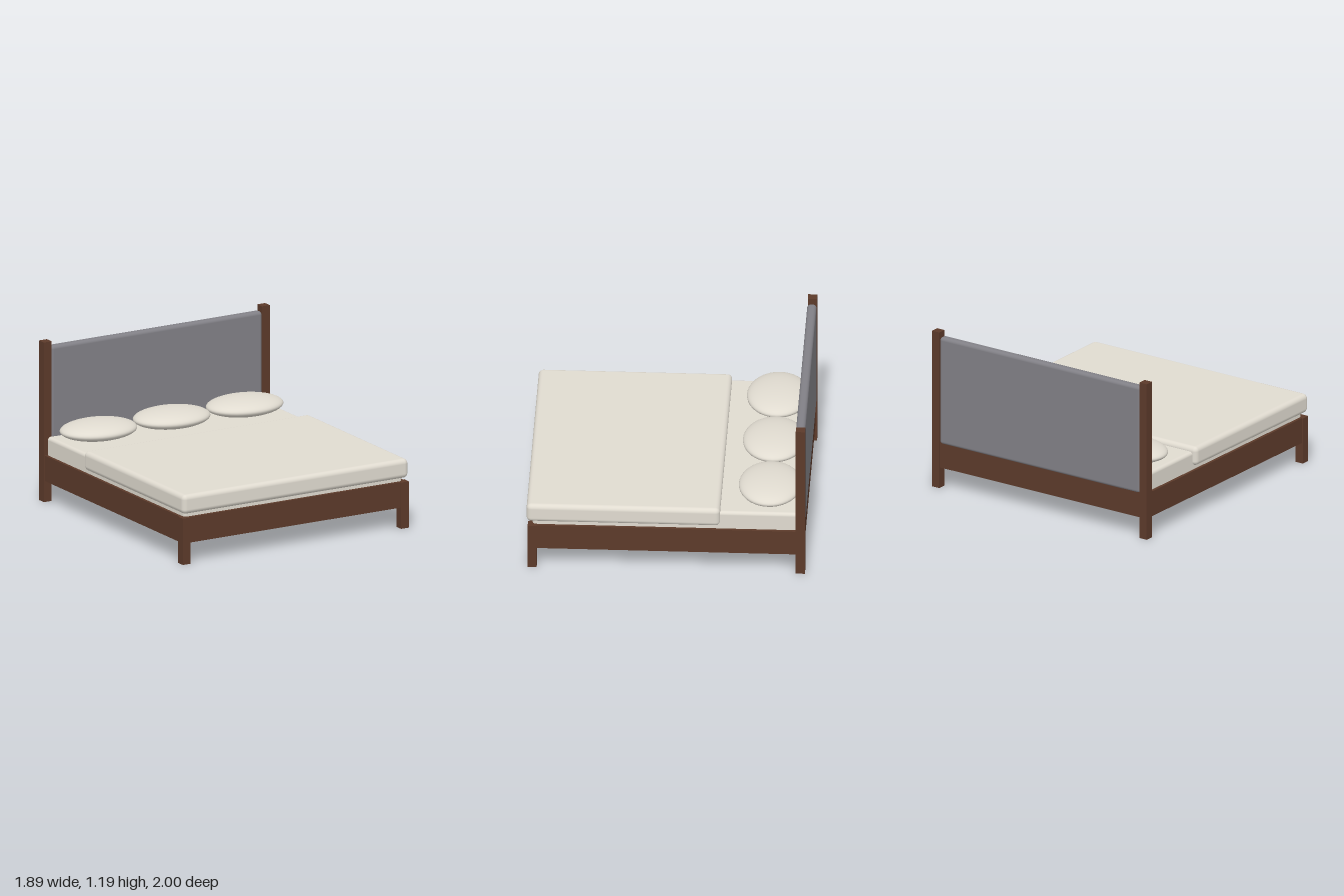
import * as THREE from 'three';
import { RoundedBoxGeometry } from 'three/addons/geometries/RoundedBoxGeometry.js';

const mat = (name, color) => {
  const m = new THREE.MeshStandardMaterial({ color });
  m.name = name;
  return m;
};

export function createModel() {
  const wood = mat('dark wood', 0x5c3a2a);
  const pine = mat('pale pine', 0xe0b579);
  const fabric = mat('grey upholstery', 0x818086);
  const linen = mat('linen', 0xe0dbd0);

  const bed = new THREE.Group();
  bed.name = 'bed';

  const add = (name, geometry, material, x = 0, y = 0, z = 0) => {
    const mesh = new THREE.Mesh(geometry, material);
    mesh.name = name;
    mesh.position.set(x, y, z);
    bed.add(mesh);
    return mesh;
  };
  // Box given by its limits; a radius rounds the edges
  const box = (name, material, [x0, x1], [y0, y1], [z0, z1], radius = 0) => {
    const size = [x1 - x0, y1 - y0, z1 - z0];
    const geometry = radius
      ? new RoundedBoxGeometry(...size, 4, radius)
      : new THREE.BoxGeometry(...size);
    return add(name, geometry, material, (x0 + x1) / 2, (y0 + y1) / 2, (z0 + z1) / 2);
  };

  // Corner posts, side rails and slat ledges, mirrored left and right
  for (const s of [-1, 1]) {
    const side = s > 0 ? 'left' : 'right';
    const span = (a, b) => (s > 0 ? [a, b] : [-b, -a]);
    box(side + 'HeadPost', wood, span(0.882, 0.947), [0, 1.19], [-1, -0.934]);
    box(side + 'FrontLeg', wood, span(0.882, 0.947), [0, 0.345], [0.926, 0.991]);
    box(side + 'SideRail', wood, span(0.915, 0.937), [0.155, 0.345], [-0.94, 0.93]);
    box(side + 'SlatLedge', pine, span(0.893, 0.915), [0.21, 0.24], [-0.93, 0.925]);
  }

  // End rails
  box('frontRail', wood, [-0.885, 0.885], [0.155, 0.345], [0.957, 0.98]);
  box('headRail', wood, [-0.885, 0.885], [0.155, 0.345], [-0.99, -0.967]);

  // Padded headboard
  box('headboard', fabric, [-0.885, 0.885], [0.335, 1.153], [-0.997, -0.93], 0.025);

  // Slats across the frame
  const slatCount = 18;
  for (let i = 0; i < slatCount; i++) {
    const z = -0.91 + (1.81 * i) / (slatCount - 1);
    box('slat', pine, [-0.913, 0.913], [0.24, 0.26], [z - 0.033, z + 0.033]);
  }

  // Centre beam with two footed support legs
  box('centreBeam', pine, [-0.022, 0.028], [0.17, 0.24], [-0.967, 0.957]);
  for (const z of [0.315, -0.343]) {
    add('supportLeg', new THREE.CylinderGeometry(0.014, 0.014, 0.17, 20), wood, 0.003, 0.085, z);
    add('supportFoot', new THREE.CylinderGeometry(0.022, 0.022, 0.01, 20), wood, 0.003, 0.005, z);
  }

  // Bedding
  box('mattress', linen, [-0.914, 0.914], [0.26, 0.48], [-0.962, 0.957], 0.025);
  box('duvet', linen, [-0.947, 0.944], [0.373, 0.515], [-0.39, 1], 0.035);
  for (const x of [-0.61, 0.003, 0.615]) {
    add('pillow', new THREE.SphereGeometry(1, 40, 24), linen, x, 0.545, -0.736)
      .scale.set(0.296, 0.067, 0.226);
  }

  return bed;
}
